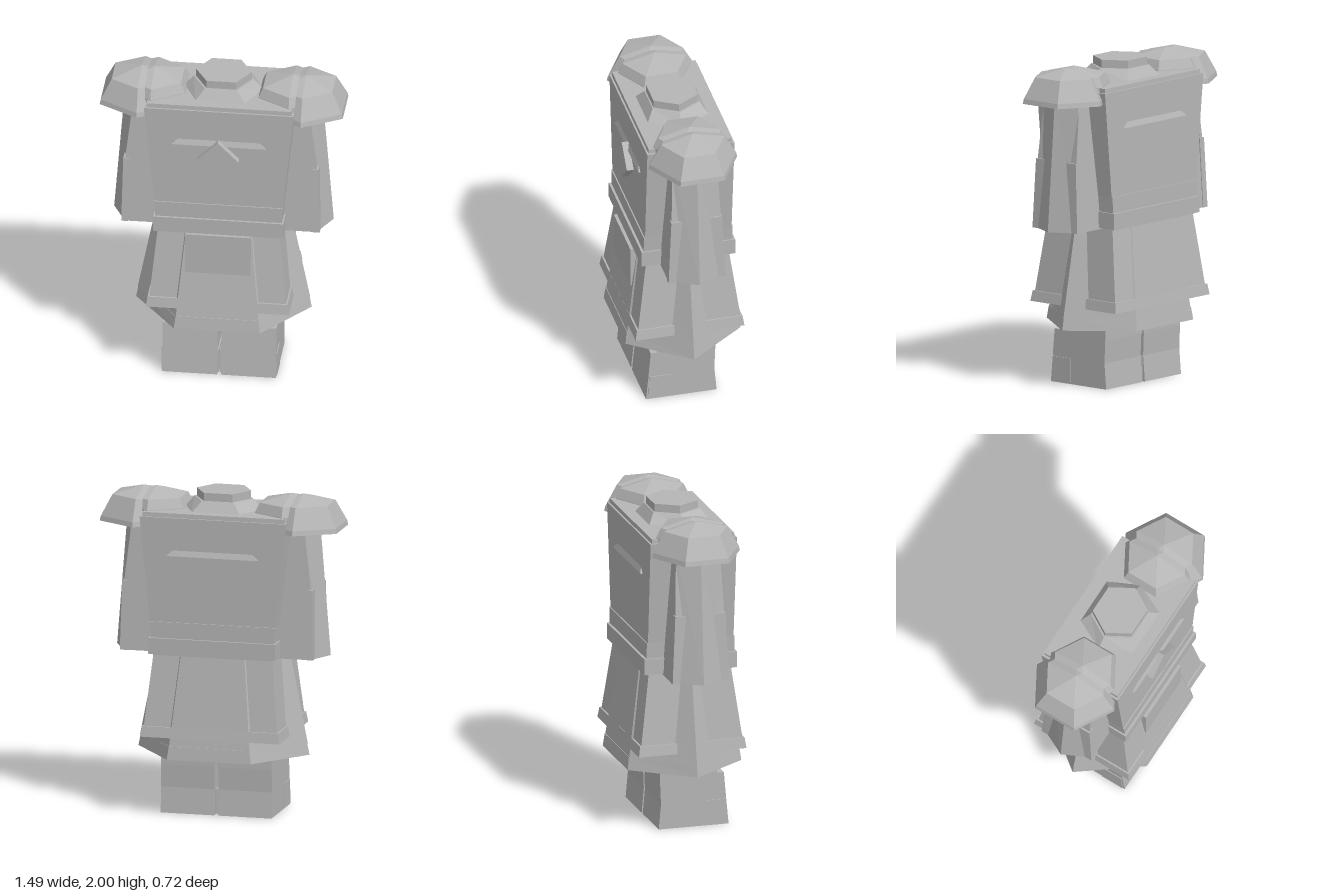
import * as THREE from 'three';

const armour = new THREE.MeshStandardMaterial({ color: 0xb6b6b6 });
armour.name = 'plain grey';

// Stacks convex [x, z] outlines at given heights into a closed, flat-faced solid
function loft(name, sections) {
  let area = 0;
  const first = sections[0][1];
  first.forEach(([x, z], i) => {
    const [x2, z2] = first[(i + 1) % first.length];
    area += x * z2 - x2 * z;
  });
  const rings = sections.map(([y, pts]) => {
    const ring = pts.map(([x, z]) => new THREE.Vector3(x, y, z));
    return area < 0 ? ring.reverse() : ring;
  });
  const n = first.length;
  const tris = [];
  for (let k = 0; k < rings.length - 1; k++) {
    const b = rings[k], t = rings[k + 1];
    for (let i = 0; i < n; i++) {
      const j = (i + 1) % n;
      tris.push(b[i], t[i], t[j], b[i], t[j], b[j]);
    }
  }
  const low = rings[0], high = rings[rings.length - 1];
  for (let i = 1; i < n - 1; i++) {
    tris.push(low[0], low[i], low[i + 1], high[0], high[i + 1], high[i]);
  }
  const geometry = new THREE.BufferGeometry().setFromPoints(tris);
  geometry.computeVertexNormals();
  const mesh = new THREE.Mesh(geometry, armour);
  mesh.name = name;
  return mesh;
}

// Outlines
const rect = (x0, x1, z0, z1) => [[x0, z0], [x1, z0], [x1, z1], [x0, z1]];
const block = (x, z) => rect(-x, x, -z, z);
const hexX = (tip, x, z) => [[tip, 0], [x, z], [-x, z], [-tip, 0], [-x, -z], [x, -z]];
const hexZ = (cx, r) => Array.from({ length: 6 }, (_, i) => {
  const a = Math.PI / 6 + i * Math.PI / 3;
  return [cx + r * Math.cos(a), r * Math.sin(a)];
});
const flip = (s, pts) => pts.map(([x, z]) => [s * x, z]);

export function createModel() {
  const model = new THREE.Group();
  model.name = 'armouredBody';
  const add = (name, sections) => model.add(loft(name, sections));

  // Torso, waist bands and collar
  add('torso', [[1.0, block(0.375, 0.272)], [1.86, block(0.46, 0.275)]]);
  add('collarPlate', [[1.84, block(0.445, 0.265)], [1.887, block(0.445, 0.262)]]);
  add('waistBand', [[1.1, block(0.389, 0.28)], [1.21, block(0.396, 0.28)]]);
  add('belt', [[1.01, block(0.4, 0.295)], [1.11, block(0.4, 0.295)]]);
  add('neckBase', [[1.88, hexX(0.25, 0.155, 0.195)], [1.95, hexX(0.185, 0.1, 0.148)]]);
  add('neckCap', [[1.94, hexX(0.172, 0.09, 0.14)], [2.0, hexX(0.172, 0.09, 0.14)]]);

  // Chest and back ridges
  for (const s of [1, -1]) {
    add(s > 0 ? 'chestRidge' : 'backRidge', [
      [1.625, rect(-0.29, 0.29, s * 0.25, s * 0.288)],
      [1.66, rect(-0.25, 0.25, s * 0.25, s * 0.274)],
    ]);
  }

  // Diamond on the chest
  const diamond = new THREE.Mesh(new THREE.BoxGeometry(0.18, 0.18, 0.055), armour);
  diamond.name = 'chestDiamond';
  diamond.position.set(0, 1.54, 0.29);
  diamond.rotation.z = Math.PI / 4;
  model.add(diamond);

  // Six-sided skirt with hem, four-cornered overskirt and front panel
  add('skirt', [[0.44, hexX(0.53, 0.255, 0.35)], [1.02, hexX(0.415, 0.2, 0.268)]]);
  add('skirtHem', [[0.37, hexX(0.54, 0.265, 0.362)], [0.45, hexX(0.525, 0.255, 0.352)]]);
  add('overskirt', [[0.52, block(0.425, 0.328)], [1.01, block(0.375, 0.262)]]);
  add('overskirtHem', [[0.5, block(0.44, 0.343)], [0.565, block(0.43, 0.333)]]);
  add('frontPanel', [[0.745, rect(-0.2, 0.2, 0.2, 0.315)], [1.01, rect(-0.2, 0.2, 0.2, 0.315)]]);

  for (const s of [1, -1]) {
    const side = s > 0 ? 'left' : 'right';

    // Shoulder made of two overlapping six-sided domes
    add(side + 'ShoulderOuter', [
      [1.79, hexZ(s * 0.505, 0.28)], [1.82, hexZ(s * 0.505, 0.273)],
      [1.95, hexZ(s * 0.505, 0.2)], [2.0, hexZ(s * 0.505, 0.001)],
    ]);
    add(side + 'ShoulderInner', [
      [1.8, hexZ(s * 0.425, 0.236)], [1.89, hexZ(s * 0.425, 0.23)],
      [1.95, hexZ(s * 0.425, 0.2)], [2.0, hexZ(s * 0.425, 0.001)],
    ]);

    // Arm with a ridged outer face
    const armShape = (inner, corner, ridge, z) =>
      flip(s, [[inner, -z], [corner, -z], [ridge, 0], [corner, z], [inner, z]]);
    add(side + 'Arm', [
      [1.0, armShape(0.34, 0.59, 0.675, 0.175)],
      [1.81, armShape(0.4, 0.55, 0.61, 0.135)],
    ]);

    // Arm corner pads with a tapering fin above
    for (const f of [1, -1]) {
      const pad = (x0, x1, z0, z1) => flip(s, rect(x0, x1, f * z0, f * z1));
      add(side + 'ArmPad', [
        [1.0, pad(0.57, 0.61, 0.11, 0.18)], [1.43, pad(0.56, 0.6, 0.075, 0.16)],
      ]);
      add(side + 'ArmFin', [
        [1.42, pad(0.565, 0.59, 0.11, 0.156)], [1.73, pad(0.545, 0.553, 0.11, 0.143)],
      ]);
    }

    // Leg, wider boot and ankle plate
    const leg = (x0, x1, z0, z1) => flip(s, rect(x0, x1, z0, z1));
    add(side + 'Leg', [[0.3, leg(0.008, 0.35, -0.183, 0.18)], [0.5, leg(0.008, 0.35, -0.183, 0.18)]]);
    add(side + 'Boot', [
      [0, leg(0.012, 0.35, -0.19, 0.255)],
      [0.16, leg(0.012, 0.35, -0.176, 0.24)],
      [0.33, leg(0.012, 0.35, -0.183, 0.225)],
    ]);
    add(side + 'AnklePlate', [[0.008, leg(0.3, 0.355, 0.095, 0.24)], [0.16, leg(0.3, 0.355, 0.095, 0.235)]]);
    add(side + 'InnerFoot', [[0.005, leg(0.003, 0.03, -0.17, 0.235)], [0.16, leg(0.003, 0.03, -0.17, 0.225)]]);
  }
  return model;
}
